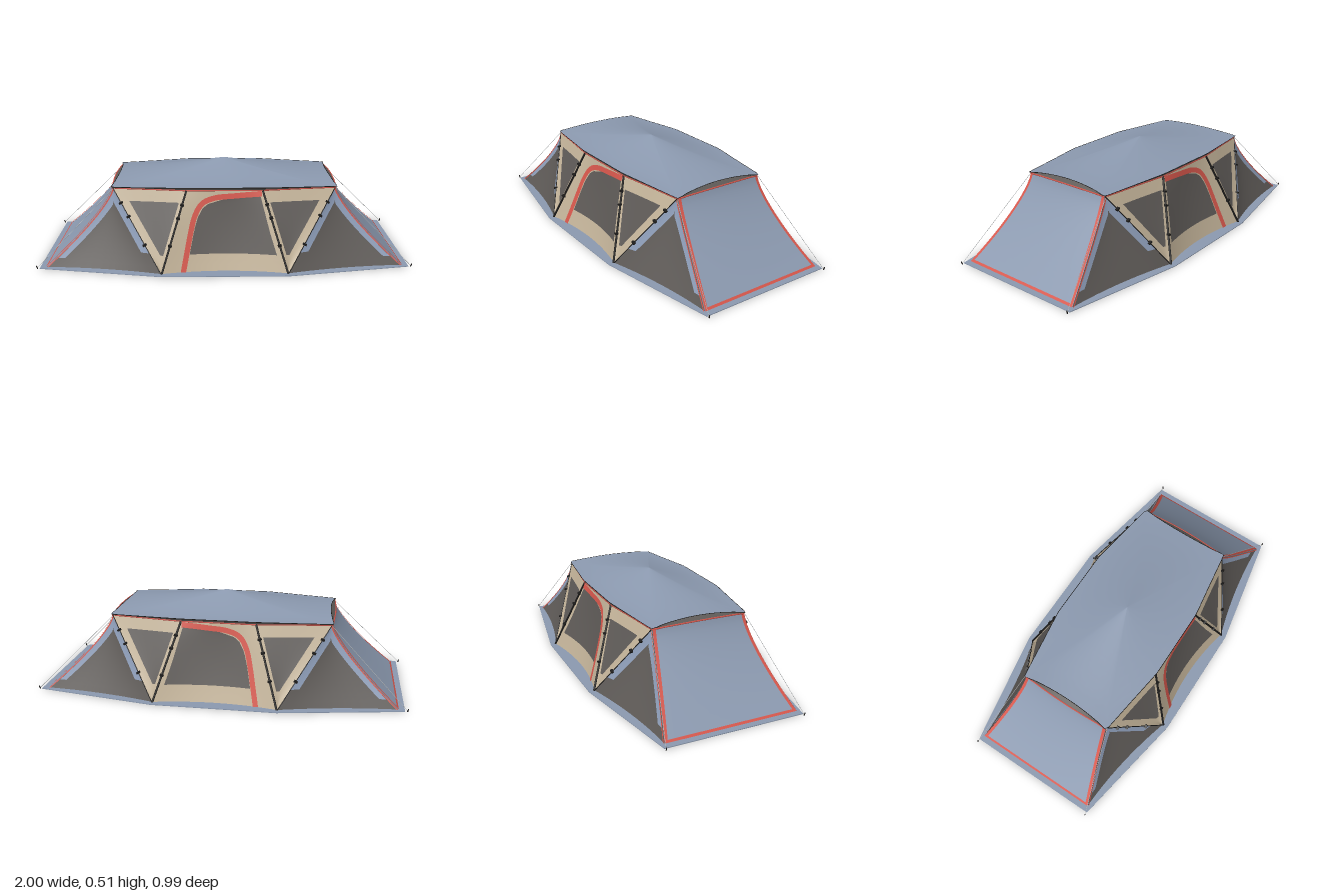
import * as THREE from 'three';

const H = 0.41; // wall height
const lerp = THREE.MathUtils.lerp;
const mat = (name, color) => new THREE.MeshStandardMaterial({ name, color, side: THREE.DoubleSide });

// Wall frame lines, as functions of height y: middle pole, corner pole, end edge
const k = y => Math.max(0, 1 - y / H);
const midPole = y => [0.2 + 0.13 * k(y), 0.31 + 0.155 * k(y)];
const cornerPole = y => [0.59 - 0.26 * k(y), 0.255 + 0.21 * k(y)];
const endEdge = y => [0.59 + 0.36 * k(y) ** 1.32, 0.255 + 0.105 * k(y) ** 1.55];

// Depth of the wall between two frame lines, sagging inwards by `sag`
function between(a, b, sag) {
  return (x, y) => {
    const [xa, za] = a(y), [xb, zb] = b(y);
    const u = xb - xa < 1e-5 ? 0 : (x - xa) / (xb - xa);
    return lerp(za, zb, u) - sag * 4 * u * (1 - u) * (1 - (1 - k(y)) ** 2);
  };
}
const mirrored = line => y => [-line(y)[0], line(y)[1]];
const centreZ = between(mirrored(midPole), midPole, 0.04);
const sideZ = between(midPole, cornerPole, 0.008);
const wingZ = between(cornerPole, endEdge, 0.02);

// Piecewise linear lookup in [key, value] pairs
function table(pts) {
  return t => {
    let i = 0;
    while (i < pts.length - 2 && t > pts[i + 1][0]) i++;
    const [a, b] = [pts[i], pts[i + 1]];
    return lerp(a[1], b[1], (t - a[0]) / (b[0] - a[0]));
  };
}

export function createModel() {
  const group = new THREE.Group();
  const slate = mat('slateFabric', 0x8b99af);
  const tan = mat('tanFabric', 0xc2b298);
  const mesh = mat('darkMesh', 0x5e5a57);
  const red = mat('redTrim', 0xd4564b);
  const black = mat('blackPole', 0x1c1b1a);
  const cord = mat('paleCord', 0xb4b7b8);
  const pale = mat('paleBlueBand', 0x8d9db8);

  const add = (name, geo, m) => {
    const o = new THREE.Mesh(geo, m);
    o.name = name;
    group.add(o);
    return o;
  };

  // Surface from a rule f(u, v) -> [x, y, z]
  function grid(name, m, nu, nv, f, flip = false) {
    const pos = [], idx = [];
    for (let j = 0; j <= nv; j++) for (let i = 0; i <= nu; i++) pos.push(...f(i / nu, j / nv));
    for (let j = 0; j < nv; j++) for (let i = 0; i < nu; i++) {
      const a = j * (nu + 1) + i, b = a + 1, c = a + nu + 1, d = c + 1;
      idx.push(...(flip ? [a, c, b, b, c, d] : [a, b, c, b, d, c]));
    }
    const g = new THREE.BufferGeometry();
    g.setAttribute('position', new THREE.Float32BufferAttribute(pos, 3));
    g.setIndex(idx);
    g.computeVertexNormals();
    return add(name, g, m);
  }

  // Wall area between two x limits and two heights; m mirrors x, s mirrors z
  function patch(name, material, x0, x1, y0, y1, zOf, m, s, lift = 0) {
    grid(name, material, 12, 14, (u, v) => {
      const y = lerp(y0, y1, v), x = lerp(x0(y), x1(y), u);
      return [m * x, y, s * (zOf(x, y) + lift)];
    }, m * s < 0);
  }

  function rod(name, a, b, r, m) {
    const p = new THREE.Vector3(...a), q = new THREE.Vector3(...b);
    const o = add(name, new THREE.CylinderGeometry(r, r, p.distanceTo(q), 6), m);
    o.position.copy(p).lerp(q, 0.5);
    o.quaternion.setFromUnitVectors(new THREE.Vector3(0, 1, 0), q.sub(p).normalize());
  }

  // Groundsheet
  const base = new THREE.Shape([[0.98, 0.375], [0.33, 0.495], [-0.33, 0.495], [-0.98, 0.375],
    [-0.98, -0.375], [-0.33, -0.495], [0.33, -0.495], [0.98, -0.375]].map(p => new THREE.Vector2(...p)));
  const baseGeo = new THREE.ExtrudeGeometry(base, { depth: 0.004, bevelEnabled: false });
  add('groundsheet', baseGeo.rotateX(-Math.PI / 2), slate);

  // Roof rim and the wall top below it, one half then turned by 180 degrees
  const rim = [], wallTop = [];
  for (const h of [1, -1]) {
    for (let i = 0; i <= 10; i++) {
      const w = 1 - i / 5, c = 1 - w * w;
      rim.push([h * (0.598 - 0.02 * c), 0.416 + 0.02 * c, h * 0.262 * w]);
      wallTop.push([h * (0.592 + 0.012 * c), H + 0.008 * c, h * 0.257 * w]);
    }
    for (const [x, z, y] of [[0.4, 0.291, 0.42], [0.2, 0.32, 0.425], [0, 0.32, 0.425], [-0.2, 0.32, 0.425], [-0.4, 0.291, 0.42]]) {
      rim.push([h * x, y, -h * z]);
      wallTop.push([h * x, H, -h * (z - 0.008)]);
    }
  }
  const n = rim.length;
  const at = (list, u) => list[Math.round(u * n) % n];
  grid('roof', slate, n, 10, (u, v) => {
    const [x, y, z] = at(rim, u);
    return [x * (1 - v), y + (0.514 - y) * v ** 1.4, z * (1 - v)];
  });
  grid('roofValance', mesh, n, 1, (u, v) => at(rim, u).map((c, i) => lerp(c, at(wallTop, u)[i], v)), true);
  const loop = pts => new THREE.CatmullRomCurve3(pts.map(p => new THREE.Vector3(...p)), true, 'catmullrom', 0.1);
  add('roofPiping', new THREE.TubeGeometry(loop(wallTop), 120, 0.004, 5, true), red);
  add('roofHem', new THREE.TubeGeometry(loop(rim), 120, 0.0018, 4, true), black);

  // Door outline: x of the curved zip edge by height
  const doorEdge = table([[0, -0.2], [0.1, -0.182], [0.2, -0.162], [0.27, -0.143], [0.32, -0.115], [0.35, -0.075], [0.365, 0], [0.385, 0.18]]);
  const zip = new THREE.CatmullRomCurve3([[-0.217, 0.004], [-0.198, 0.1], [-0.178, 0.2], [-0.157, 0.28],
    [-0.12, 0.342], [-0.06, 0.37], [0.06, 0.383], [0.195, 0.394]].map(p => new THREE.Vector3(p[0], p[1], 0)));

  for (const s of [1, -1]) {
    // Centre wall with mesh door and red zip band
    patch('centreWall', tan, y => -midPole(y)[0], y => midPole(y)[0], 0.003, H, centreZ, 1, s);
    patch('doorMesh', mesh, doorEdge, y => midPole(y)[0] - 0.03 + 0.05 * Math.max(0, y - 0.2), 0.09, 0.383, centreZ, 1, s, 0.003);
    grid('doorZipBand', red, 40, 2, (u, v) => {
      const p = zip.getPoint(u), t = zip.getTangent(u), d = (v - 0.5) * 0.028;
      const x = p.x - t.y * d, y = Math.max(0.003, p.y + t.x * d);
      return [x, y, s * (centreZ(x, y) + 0.005)];
    }, s < 0);

    for (const m of [1, -1]) {
      // Triangular side panel and window
      patch('sidePanel', tan, y => midPole(y)[0], y => cornerPole(y)[0], 0.003, H, sideZ, m, s);
      patch('sideWindow', mesh, y => midPole(y)[0] + 0.02, y => cornerPole(y)[0] - 0.05, 0.09, 0.35, sideZ, m, s, 0.003);

      // Wing panel with pale bands meeting in an arch
      patch('wingPanel', mesh, y => cornerPole(y)[0], y => endEdge(y)[0], 0.003, H, wingZ, m, s);
      const band = y => Math.min(0.045, (endEdge(y)[0] - cornerPole(y)[0]) / 2);
      patch('wingInnerBand', pale, y => cornerPole(y)[0], y => cornerPole(y)[0] + band(y), 0.1, 0.395, wingZ, m, s, 0.003);
      patch('wingOuterBand', pale, y => endEdge(y)[0] - band(y), y => endEdge(y)[0] - 0.012 * k(y), 0.05, 0.395, wingZ, m, s, 0.003);
      patch('wingEdgeTrim', red, y => endEdge(y)[0] - 0.008, y => endEdge(y)[0], 0.004, H, wingZ, m, s, 0.004);

      // Poles, with clips
      const on = (line, y, out = 0.003) => [m * line(y)[0], y, s * (line(y)[1] + out)];
      rod('middlePole', on(midPole, 0.002), on(midPole, H), 0.006, black);
      rod('cornerPole', on(cornerPole, 0.002), on(cornerPole, H), 0.0025, black);
      for (const y of [0.14, 0.275, 0.34]) for (const line of [midPole, cornerPole]) {
        const clip = add('poleClip', new THREE.BoxGeometry(0.02, 0.01, 0.014), black);
        clip.position.set(...on(line, y, 0.006));
        clip.rotation.z = m * (line === midPole ? 0.3 : -0.5);
      }

      // Guy line and peg
      rod('guyLine', [m * 0.592, 0.405, s * 0.262], [m * 0.992, 0.006, s * 0.372], 0.0012, cord);
      rod('groundPeg', [m * 0.992, 0, s * 0.372], [m * 0.997, 0.016, s * 0.374], 0.003, black);
    }
  }

  // Sloping end panels with red trim
  for (const m of [1, -1]) {
    const end = (y, w, lift = 0) => {
      const t = 1 - k(y), c = (1 - w * w) * t;
      return [m * (endEdge(y)[0] + 0.012 * c + lift), y + 0.008 * c + lift, -m * w * endEdge(y)[1]];
    };
    grid('endPanel', slate, 14, 20, (u, v) => end(lerp(0.003, H, v), u * 2 - 1), false);
    for (const e of [1, -1]) {
      grid('endSideTrim', red, 1, 20, (u, v) => {
        const y = lerp(0.003, H, v);
        return end(y, e * (1 - (1 - u) * 0.016 / endEdge(y)[1]), 0.003);
      }, e < 0);
    }
    grid('endBottomTrim', red, 8, 1, (u, v) => end(lerp(0.003, 0.012, v), u * 2 - 1, 0.003));
  }
  return group;
}
